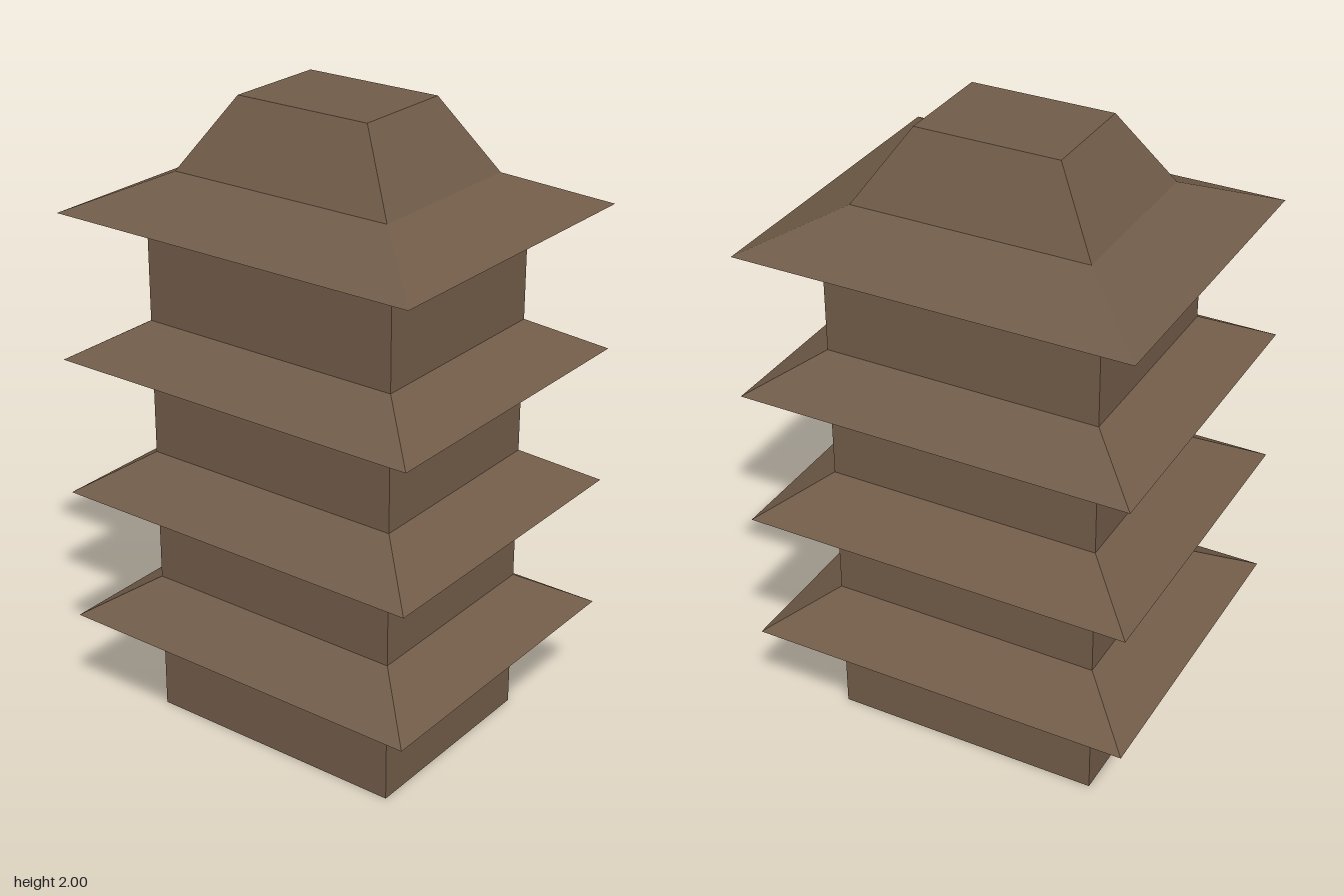
import * as THREE from 'three';

const brownWood = new THREE.MeshStandardMaterial({ color: 0x705b48 });

// Rectangular cross-sections [halfWidth, y, halfDepth], listed bottom to top along the outside.
function stackedRects(rings, { capBottom = false, capTop = false } = {}) {
  const corners = ([w, y, d]) => [[-w, y, d], [w, y, d], [w, y, -d], [-w, y, -d]];
  const pos = [];
  const quad = (a, b, c, d) => pos.push(...a, ...b, ...c, ...a, ...c, ...d);
  const loops = rings.map(corners);
  for (let i = 0; i < loops.length - 1; i++) {
    for (let k = 0; k < 4; k++) {
      const n = (k + 1) % 4;
      quad(loops[i][k], loops[i][n], loops[i + 1][n], loops[i + 1][k]);
    }
  }
  if (capBottom) quad(...[...loops[0]].reverse());
  if (capTop) quad(...loops[loops.length - 1]);
  const geometry = new THREE.BufferGeometry();
  geometry.setAttribute('position', new THREE.Float32BufferAttribute(pos, 3));
  geometry.computeVertexNormals(); // unshared corners keep every face flat
  return geometry;
}

export function createModel() {
  const tower = new THREE.Group();
  tower.name = 'tower';
  const add = (name, rings, caps) => {
    const mesh = new THREE.Mesh(stackedRects(rings, caps), brownWood);
    mesh.name = name;
    tower.add(mesh);
  };

  const W = 0.335, D = 0.433; // wall half sizes

  // Three sloping eaves, each sitting on the storey below it
  const eaves = [[0.345, 0.463], [0.775, 0.895], [1.213, 1.323]];
  let floor = 0;
  eaves.forEach(([low, high], i) => {
    const soffit = low + 0.07;
    add(`storey${i + 1}`, [[W, floor, D], [W, soffit, D]], { capBottom: i === 0 });
    add(`eave${i + 1}`, [[W, soffit, D], [0.52, low, 0.617], [W, high, D]]);
    floor = high;
  });

  // Top storey and the broad roof skirt above it
  add('storey4', [[W, floor, D], [W, 1.7, D]]);
  add('roofSkirt', [[W, 1.7, D], [0.515, 1.667, 0.613], [0.275, 1.777, 0.372]]);

  // Steep roof crown with a flat top
  add('roofCrown', [[0.275, 1.777, 0.372], [0.166, 2, 0.225]], { capTop: true });

  return tower;
}
